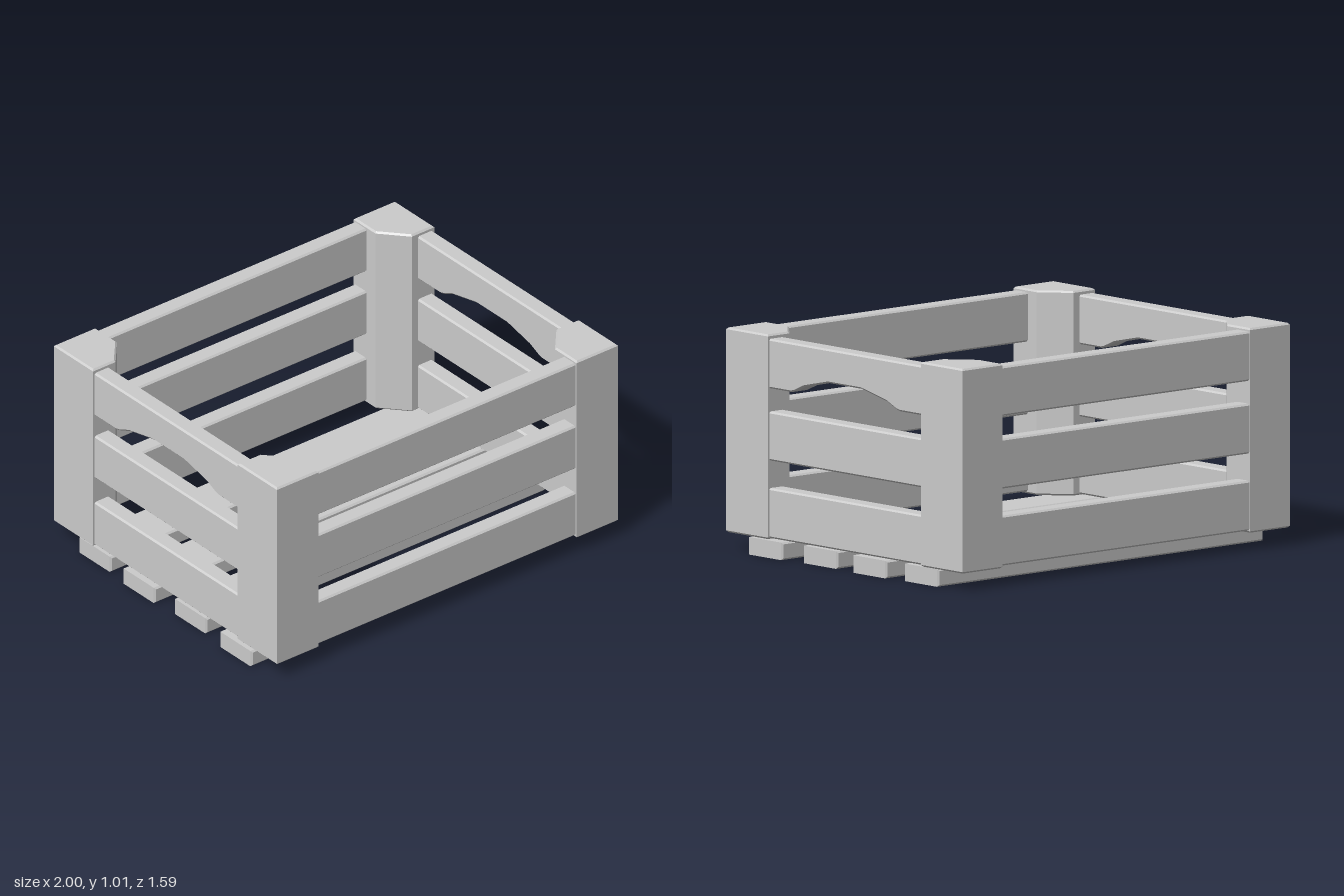
import * as THREE from 'three';

const BEVEL = 0.008;
const material = new THREE.MeshStandardMaterial({ color: 0xcccccc, flatShading: true });

// Extrude an outline with small chamfers inside its size, centred on its depth
function board(points, depth) {
  const shape = new THREE.Shape(points.map(([x, y]) => new THREE.Vector2(x, y)));
  return new THREE.ExtrudeGeometry(shape, {
    depth: depth - 2 * BEVEL,
    bevelEnabled: true,
    bevelSize: BEVEL,
    bevelThickness: BEVEL,
    bevelOffset: -BEVEL,
    bevelSegments: 1,
  }).translate(0, 0, BEVEL - depth / 2);
}

const rectangle = (halfLength, y0, y1) => [
  [-halfLength, y0], [halfLength, y0], [halfLength, y1], [-halfLength, y1],
];

export function createModel() {
  const crate = new THREE.Group();
  crate.name = 'crate';

  function add(name, geometry) {
    const mesh = new THREE.Mesh(geometry, material);
    mesh.name = name;
    crate.add(mesh);
    return mesh;
  }

  // Corner posts with a cut-off inner corner
  const postOutline = [
    [0.985, 0.795], [0.745, 0.795], [0.745, 0.64], [0.855, 0.515], [0.985, 0.515],
  ];
  for (const sx of [-1, 1]) {
    for (const sz of [-1, 1]) {
      const outline = postOutline.map(([x, z]) => [sx * x, -sz * z]);
      const name = (sz > 0 ? 'front' : 'back') + (sx > 0 ? 'Left' : 'Right') + 'Post';
      add(name, board(outline, 0.93).rotateX(-Math.PI / 2).translate(0, 0.545, 0));
    }
  }

  // Front and back slats, ends let into the posts
  for (const [y0, y1] of [[0.09, 0.317], [0.44, 0.667], [0.77, 0.995]]) {
    const geometry = board(rectangle(0.8, y0, y1), 0.086);
    add('frontSlat', geometry).position.z = 0.742;
    add('backSlat', geometry).position.z = -0.747;
  }

  // Side slats, the top one with a curved hand hold
  const handleSlat = [
    [-0.56, 0.765], [-0.37, 0.765], [-0.345, 0.771], [-0.28, 0.8], [-0.12, 0.836],
    [0.1, 0.836], [0.27, 0.8], [0.335, 0.771], [0.36, 0.765], [0.56, 0.765],
    [0.56, 0.99], [-0.56, 0.99],
  ];
  const sideOutlines = [rectangle(0.56, 0.085, 0.312), rectangle(0.56, 0.437, 0.66), handleSlat];
  sideOutlines.forEach((outline, i) => {
    const geometry = board(outline, 0.086).rotateY(Math.PI / 2);
    for (const sx of [-1, 1]) {
      const name = (sx > 0 ? 'left' : 'right') + (i === 2 ? 'HandleSlat' : 'Slat');
      add(name, geometry).position.x = sx * 0.933;
    }
  });

  // Floor slats under the posts, alternating slightly in length
  const floorSlats = [[-0.51, 0.98], [-0.178, 0.995], [0.17, 0.98], [0.517, 1]];
  for (const [z, halfLength] of floorSlats) {
    add('floorSlat', board(rectangle(halfLength, 0, 0.08), 0.23)).position.z = z;
  }

  return crate;
}
